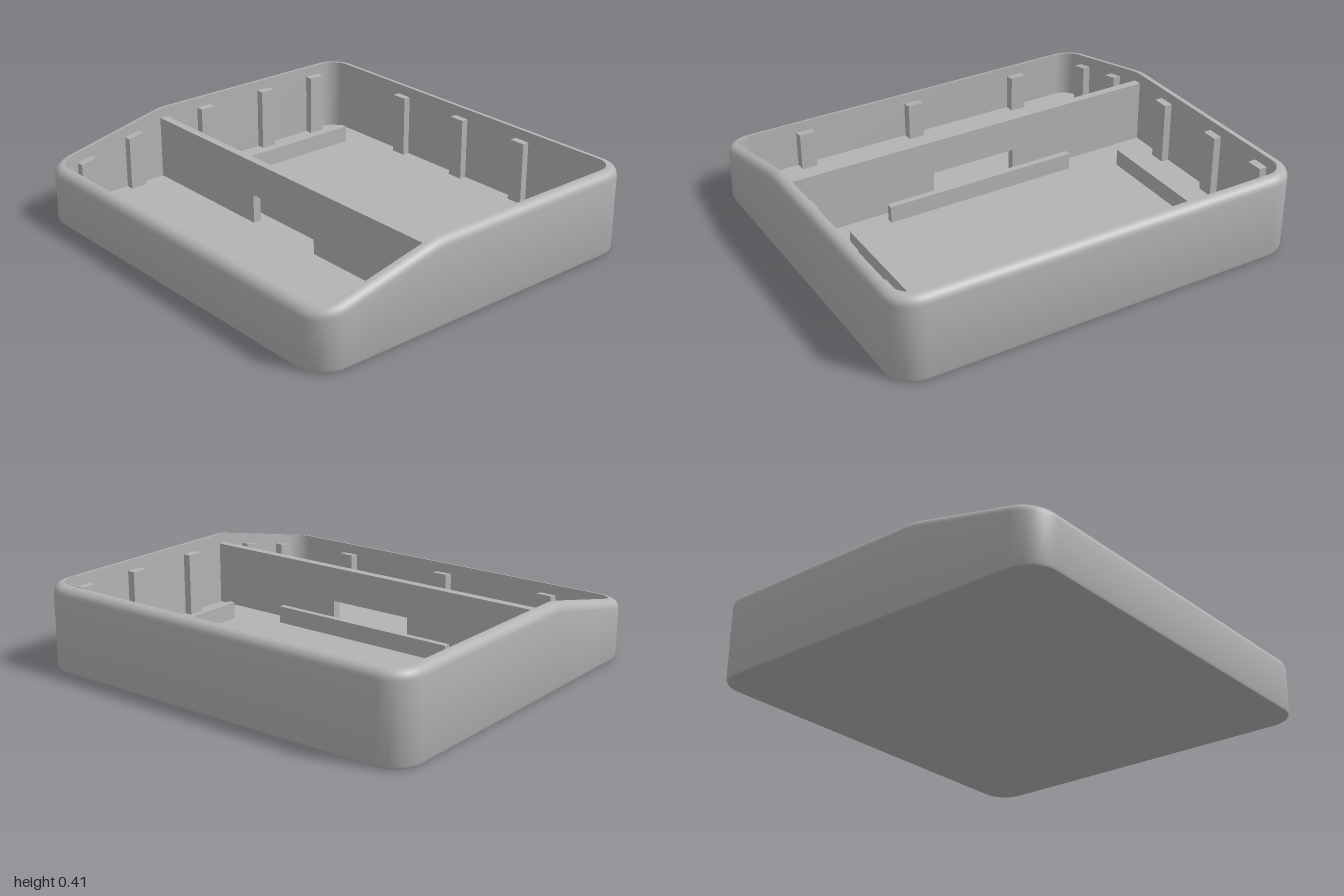
import * as THREE from 'three';
import { toCreasedNormals } from 'three/addons/utils/BufferGeometryUtils.js';

const HALF_X = 1, HALF_Z = 0.905, CORNER = 0.14, WALL = 0.05, FLOOR = 0.05, LEDGE = 0.05;

// Rim height along z: level at the back, sloping down to a low front lip
const PROFILE = [[-1, 0.405], [0.235, 0.405], [0.27, 0.402], [0.305, 0.395], [0.77, 0.291], [0.82, 0.283], [0.91, 0.271]];
function rimHeight(z) {
  for (let i = 1; i < PROFILE.length; i++) {
    const [z0, y0] = PROFILE[i - 1], [z1, y1] = PROFILE[i];
    if (z <= z1) return y0 + (y1 - y0) * (z - z0) / (z1 - z0);
  }
  return 0.271;
}

// Rounded rectangle pulled in by an inset, with extra points where the rim bends
function outline(inset) {
  const r = CORNER - inset, cx = HALF_X - CORNER, cz = HALF_Z - CORNER, points = [];
  const bends = [0.235, 0.27, 0.305];
  const corner = (sx, sz, start) => {
    for (let i = 0; i <= 10; i++) {
      const a = start + (i / 10) * Math.PI / 2;
      points.push([sx * cx + r * Math.cos(a), sz * cz + r * Math.sin(a)]);
    }
  };
  corner(1, 1, 0);
  corner(-1, 1, Math.PI / 2);
  for (const z of [...bends].reverse()) points.push([-HALF_X + inset, z]);
  corner(-1, -1, Math.PI);
  corner(1, -1, Math.PI * 1.5);
  for (const z of bends) points.push([HALF_X - inset, z]);
  return points;
}

// Shell skin lofted from rings: underside, outer wall, rounded rim, inner wall, floor
function shellGeometry() {
  const rings = [];
  const ring = (inset, height) => rings.push(outline(inset).map(([x, z]) => [x, height(z), z]));
  ring(0.016, () => 0);
  ring(0.005, () => 0.006);
  ring(0, () => 0.018);
  const round = 0.042;
  for (let i = 0; i <= 6; i++) {
    const a = (i / 6) * Math.PI / 2;
    ring(round * (1 - Math.cos(a)), z => rimHeight(z) - round * (1 - Math.sin(a)));
  }
  ring(WALL, rimHeight);
  ring(WALL, () => FLOOR);

  const n = rings[0].length, index = [], positions = rings.flat(2);
  for (let k = 0; k < rings.length - 1; k++) {
    for (let i = 0; i < n; i++) {
      const j = (i + 1) % n, a = k * n + i, b = k * n + j;
      index.push(a, a + n, b, b, a + n, b + n);
    }
  }
  // Caps for the underside and the inside floor
  const last = (rings.length - 1) * n, low = rings.length * n, high = low + 1;
  positions.push(0, 0, 0, 0, FLOOR, 0);
  for (let i = 0; i < n; i++) {
    const j = (i + 1) % n;
    index.push(low, i, j, high, last + j, last + i);
  }
  const g = new THREE.BufferGeometry();
  g.setAttribute('position', new THREE.Float32BufferAttribute(positions, 3));
  g.setIndex(index);
  return toCreasedNormals(g, Math.PI / 6);
}

// Box standing on the floor; its top follows the rim, one ledge below it
function postGeometry(x, z, w, d) {
  const g = new THREE.BoxGeometry(w, 1, d).translate(x, 0, z);
  const p = g.attributes.position;
  for (let i = 0; i < p.count; i++) {
    p.setY(i, p.getY(i) > 0 ? rimHeight(p.getZ(i)) - LEDGE : FLOOR - 0.01);
  }
  const flat = g.toNonIndexed();
  flat.computeVertexNormals();
  return flat;
}

export function createModel() {
  const model = new THREE.Group();
  model.name = 'openCase';
  const grey = new THREE.MeshStandardMaterial({ color: 0xb3b3b3 });
  grey.name = 'grey plastic';
  const add = (name, geometry) => {
    const mesh = new THREE.Mesh(geometry, grey);
    mesh.name = name;
    model.add(mesh);
    return mesh;
  };

  add('caseShell', shellGeometry());

  // Cross wall with a cable opening at the floor
  const top = 0.355, end = 0.952, gap = 0.215, base = FLOOR - 0.005;
  const wall = new THREE.Shape([
    [-end, base], [-gap, base], [-gap, 0.19], [gap, 0.19],
    [gap, base], [end, base], [end, top], [-end, top],
  ].map(([x, y]) => new THREE.Vector2(x, y)));
  add('dividerWall', new THREE.ExtrudeGeometry(wall, { depth: 0.04, bevelEnabled: false }).translate(0, 0, 0.232));

  // Low ribs on the floor
  const ribHeight = 0.085;
  const rib = (name, x, z, w, d) =>
    add(name, new THREE.BoxGeometry(w, ribHeight, d).translate(x, FLOOR + ribHeight / 2 - 0.003, z));
  rib('frontRib', 0, 0.163, 0.97, 0.03);
  rib('leftRib', 0.72, -0.33, 0.03, 0.78);
  rib('rightRib', -0.72, -0.33, 0.03, 0.78);

  // Support posts along the inside of every wall
  for (const side of [1, -1]) {
    for (const z of [-0.695, -0.37, 0.01, 0.44, 0.71]) {
      add(side > 0 ? 'leftPost' : 'rightPost', postGeometry(side * 0.933, z, 0.042, 0.08));
    }
  }
  for (const x of [-0.41, 0, 0.4]) add('backPost', postGeometry(x, -0.84, 0.08, 0.04));
  for (const x of [-0.6, 0, 0.59]) add('frontPost', postGeometry(x, 0.832, 0.08, 0.05));

  return model;
}
